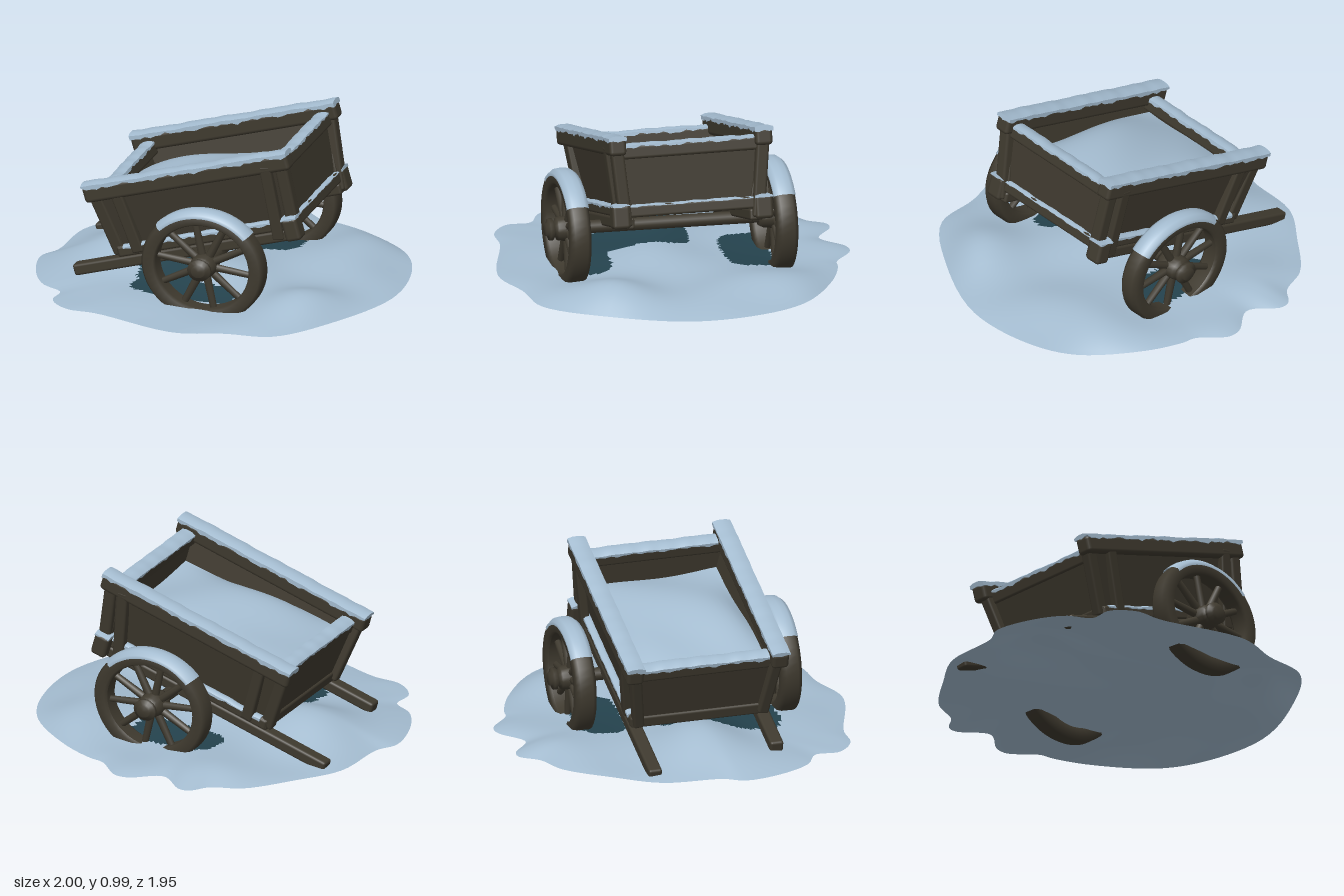
import * as THREE from 'three';
import { RoundedBoxGeometry } from 'three/addons/geometries/RoundedBoxGeometry.js';

const wood = new THREE.MeshStandardMaterial({ color: 0x3e392e });
wood.name = 'dark wood';
const snow = new THREE.MeshStandardMaterial({ color: 0xa4bcd0, side: THREE.DoubleSide });
snow.name = 'snow';
const shade = new THREE.MeshStandardMaterial({ color: 0x24424d, side: THREE.DoubleSide });
shade.name = 'wet teal ground';

const V = (x, y, z) => new THREE.Vector3(x, y, z);
const wobble = (a, b = 0) => (Math.sin(a * 23 + b * 7) + Math.sin(a * 51 + 1.7 + b * 13) + Math.sin(a * 97 + b * 3)) / 3;

function add(parent, name, geometry, material, pos = [0, 0, 0], rot = [0, 0, 0]) {
  const mesh = new THREE.Mesh(geometry, material);
  mesh.name = name;
  mesh.position.set(...pos);
  mesh.rotation.set(...rot);
  parent.add(mesh);
  return mesh;
}

// Worn timber with softened edges
function timber(parent, name, size, pos, rot) {
  return add(parent, name, new RoundedBoxGeometry(...size, 2, Math.min(...size) * 0.22), wood, pos, rot);
}

// Square timber running from a to b
function post(parent, name, a, b, w, d) {
  const mid = a.clone().add(b).multiplyScalar(0.5);
  const mesh = timber(parent, name, [w, a.distanceTo(b), d], mid.toArray());
  mesh.quaternion.setFromUnitVectors(V(0, 1, 0), b.clone().sub(a).normalize());
}

// Snow strip along local x with a rounded top and a ragged lower edge
function snowStrip(parent, name, length, width, depth, pos, rot) {
  const g = new THREE.BoxGeometry(length, depth, width, 40, 1, 4);
  const p = g.attributes.position;
  for (let i = 0; i < p.count; i++) {
    const x = p.getX(i), z = p.getZ(i);
    const edge = Math.abs(z) / (width / 2);
    if (p.getY(i) > 0) p.setY(i, depth / 2 - 0.01 * edge ** 3 + 0.004 * wobble(x * 0.6, pos[2]));
    else p.setY(i, -depth / 2 + depth * 0.42 * wobble(x, Math.sign(z) + pos[2]));
  }
  g.computeVertexNormals();
  add(parent, name, g, snow, pos, rot);
}

function groundHeight(x, z, t) {
  const mound = (cx, cz, h, sx, sz) => h * Math.exp(-(((x - cx) / sx) ** 2) - ((z - cz) / sz) ** 2);
  const h = 0.02 + mound(-0.52, 0.06, 0.12, 0.36, 0.26) + mound(0.66, 0.46, 0.1, 0.27, 0.26)
    + mound(0.6, -0.5, 0.065, 0.24, 0.32) + mound(0.05, 0.08, 0.05, 0.3, 0.3) + mound(-0.4, -0.75, 0.04, 0.2, 0.2)
    + mound(0.7, -0.1, 0.025, 0.25, 0.25)
    + 0.006 * Math.sin(x * 8 + z * 5) + 0.005 * Math.sin(z * 11 - x * 4);
  return 0.06 + Math.max(h, 0) * (1 - t ** 9);
}

// Bare wet ground shows between wheels and box, and under the shaft end
function isWet(x, z) {
  const blob = (cx, cz, rx, rz) => ((x - cx) / rx) ** 4 + ((z - cz) / rz) ** 4 < 1;
  return blob(-0.07, 0.46, 0.3, 0.1) || blob(0.03, -0.42, 0.27, 0.13) || blob(-0.22, 0.14, 0.18, 0.28);
}

// Snow patch with an uneven outline
function buildGround(root) {
  const outline = [[1, 0.05], [0.95, -0.35], [0.81, -0.6], [0.5, -0.8], [0.29, -0.87], [0.2, -0.88], [0.05, -0.98],
    [-0.03, -0.97], [-0.18, -0.85], [-0.34, -0.94], [-0.4, -0.93], [-0.47, -0.83], [-0.63, -0.74], [-0.8, -0.5],
    [-0.94, -0.25], [-0.95, 0.08], [-1, 0.2], [-0.94, 0.42], [-0.83, 0.58], [-0.7, 0.65], [-0.69, 0.78], [-0.57, 0.87],
    [-0.4, 0.87], [0.1, 0.97], [0.36, 0.88], [0.62, 0.82], [0.84, 0.5]];
  const rimPath = new THREE.CatmullRomCurve3(outline.map(([x, z]) => V(x, 0, z)), true);
  const N = 160, R = 44;
  const rim = rimPath.getPoints(N);
  const pos = [0, groundHeight(0, 0, 0), 0];
  for (let i = 1; i <= R; i++) {
    for (let j = 0; j < N; j++) {
      const t = i / R, x = rim[j].x * t, z = rim[j].z * t;
      pos.push(x, groundHeight(x, z, t), z);
    }
  }
  const id = (i, j) => (i === 0 ? 0 : 1 + (i - 1) * N + (j % N));
  const light = [], dark = [];
  for (let i = 0; i < R; i++) {
    for (let j = 0; j < N; j++) {
      const a = id(i, j), b = id(i + 1, j), c = id(i + 1, j + 1), d = id(i, j + 1);
      const list = isWet(pos[b * 3], pos[b * 3 + 2]) ? dark : light;
      list.push(a, b, c);
      if (i > 0) list.push(a, c, d);
    }
  }
  const top = new THREE.BufferGeometry();
  top.setAttribute('position', new THREE.Float32BufferAttribute(pos, 3));
  top.setIndex([...light, ...dark]);
  top.addGroup(0, light.length, 0);
  top.addGroup(light.length, dark.length, 1);
  top.computeVertexNormals();
  add(root, 'snowGround', top, [snow, shade]);

  // Plain snow underside, faces turned down
  const under = new THREE.BufferGeometry();
  under.setAttribute('position', top.attributes.position);
  under.setIndex([...light, ...dark].reverse());
  under.computeVertexNormals();
  add(root, 'snowGroundUnderside', under, snow, [0, -0.004, 0]);
}

// Spoked wheel about local z; side is +1 or -1 for its outer face
function buildWheel(parent, side) {
  const wheel = new THREE.Group();
  wheel.name = side > 0 ? 'frontWheel' : 'backWheel';
  wheel.position.z = 0.575 * side;
  wheel.rotation.y = 0.035;
  wheel.scale.x = 1.11;
  parent.add(wheel);
  const ring = (pts) => pts.map(([r, y]) => new THREE.Vector2(r, y));
  const tyre = ring([[0.24, -0.04], [0.25, -0.057], [0.3, -0.057], [0.315, -0.035], [0.315, 0.035],
    [0.3, 0.057], [0.25, 0.057], [0.24, 0.04], [0.24, -0.04]]);
  add(wheel, 'wheelRim', new THREE.LatheGeometry(tyre, 48).rotateX(Math.PI / 2), wood);
  const cap = ring([[0.285, -0.06], [0.303, -0.06], [0.322, -0.035], [0.326, 0], [0.322, 0.035], [0.303, 0.06], [0.285, 0.06]]);
  const capGeo = new THREE.LatheGeometry(cap, 40, Math.PI - 0.85, 1.7).rotateX(Math.PI / 2);
  add(wheel, 'wheelSnow', capGeo, snow);
  for (let i = 0; i < 10; i++) {
    const a = (i / 10) * Math.PI * 2 + 0.2;
    add(wheel, 'spoke', new THREE.CylinderGeometry(0.018, 0.022, 0.21, 8), wood,
      [-Math.sin(a) * 0.15, Math.cos(a) * 0.15, 0], [0, 0, a]);
  }
  const hub = ring([[0, -0.085], [0.05, -0.085], [0.062, -0.06], [0.07, 0], [0.062, 0.055], [0.045, 0.06],
    [0.045, 0.075], [0.06, 0.08], [0.06, 0.1], [0.038, 0.105], [0.034, 0.12], [0, 0.12]]);
  add(wheel, 'hub', new THREE.LatheGeometry(hub, 16).rotateX(Math.PI / 2 * side), wood);
}

function buildBody(body) {
  for (const s of [-1, 1]) {
    // Long sides: shaft, sill, flared wall, posts and top rail
    const shaftEnd = s < 0 ? -0.98 : -0.86;
    timber(body, 'shaft', [0.48 - shaftEnd, 0.065, 0.075], [(0.48 + shaftEnd) / 2, 0.035, 0.36 * s]);
    timber(body, 'sill', [1.06, 0.06, 0.06], [-0.05, 0.095, 0.365 * s]);
    snowStrip(body, 'sillSnow', 0.98, 0.05, 0.02, [-0.05, 0.122, 0.378 * s]);
    timber(body, 'sideWall', [1.06, 0.36, 0.03], [-0.05, 0.27, 0.377 * s], [0.2 * s, 0, 0]);
    post(body, 'rearSidePost', V(0.36, 0.02, 0.38 * s), V(0.42, 0.46, 0.435 * s), 0.065, 0.05);
    post(body, 'foreSidePost', V(-0.46, 0.08, 0.38 * s), V(-0.475, 0.45, 0.43 * s), 0.065, 0.05);
    post(body, 'foreCornerPost', V(-0.575, 0.08, 0.35 * s), V(-0.61, 0.45, 0.4 * s), 0.07, 0.06);
    post(body, 'rearCornerPost', V(0.46, 0.02, 0.37 * s), V(0.505, 0.45, 0.41 * s), 0.07, 0.07);
    timber(body, 'rearCornerBlock', [0.09, 0.13, 0.1], [0.465, 0.075, 0.4 * s]);
    snowStrip(body, 'rearCornerBlockSnow', 0.088, 0.098, 0.018, [0.465, 0.139, 0.4 * s]);
    timber(body, 'sideRail', [1.22, 0.095, 0.095], [-0.05, 0.46, 0.41 * s]);
    snowStrip(body, 'sideRailSnow', 1.22, 0.102, 0.03, [-0.05, 0.507, 0.41 * s]);
  }
  // End boards with their rails
  timber(body, 'foreBoard', [0.03, 0.36, 0.76], [-0.57, 0.27, 0], [0, 0, 0.08]);
  timber(body, 'foreRail', [0.075, 0.075, 0.8], [-0.565, 0.42, 0]);
  snowStrip(body, 'foreRailSnow', 0.74, 0.083, 0.026, [-0.565, 0.457, 0], [0, Math.PI / 2, 0]);
  timber(body, 'foreCrossbar', [0.06, 0.07, 0.78], [-0.555, 0.095, 0]);
  timber(body, 'tailBoard', [0.03, 0.36, 0.78], [0.462, 0.28, 0], [0, 0, -0.08]);
  timber(body, 'tailRail', [0.08, 0.075, 0.82], [0.475, 0.425, 0]);
  snowStrip(body, 'tailRailSnow', 0.74, 0.086, 0.022, [0.475, 0.462, 0], [0, Math.PI / 2, 0]);
  timber(body, 'tailCrossbar', [0.065, 0.065, 0.8], [0.457, 0.1, 0]);
  snowStrip(body, 'tailCrossbarSnow', 0.72, 0.062, 0.012, [0.461, 0.131, 0], [0, Math.PI / 2, 0]);
  timber(body, 'floor', [1.04, 0.04, 0.72], [-0.05, 0.09, 0]);

  // Heaped snow inside the box
  const heap = new THREE.PlaneGeometry(1.03, 0.75, 24, 18).rotateX(-Math.PI / 2);
  const p = heap.attributes.position;
  for (let i = 0; i < p.count; i++) {
    const x = p.getX(i) / 0.515, z = p.getZ(i) / 0.375;
    p.setY(i, 0.31 + 0.09 * (1 - x * x) * (1 - z ** 4) + 0.012 * Math.sin(x * 4 + z * 3) - 0.05 * x + 0.02 * z);
  }
  heap.computeVertexNormals();
  add(body, 'snowLoad', heap, snow, [-0.06, 0, 0]);
}

export function createModel() {
  const root = new THREE.Group();
  root.name = 'snowyCart';
  buildGround(root);

  const cart = new THREE.Group();
  cart.name = 'cart';
  cart.position.set(0.108, 0.314, 0.026);
  cart.rotation.set(-0.012, 0.035, 0);
  root.add(cart);

  // Box and shafts tip towards the shaft end
  const body = new THREE.Group();
  body.name = 'body';
  body.position.set(0, 0.004, -0.011);
  body.rotation.set(0, 0.035, 0.285, 'YXZ');
  cart.add(body);
  buildBody(body);

  add(cart, 'axle', new THREE.CylinderGeometry(0.036, 0.036, 1.1, 12).rotateX(Math.PI / 2), wood);
  for (const s of [-1, 1]) buildWheel(cart, s);
  return root;
}
